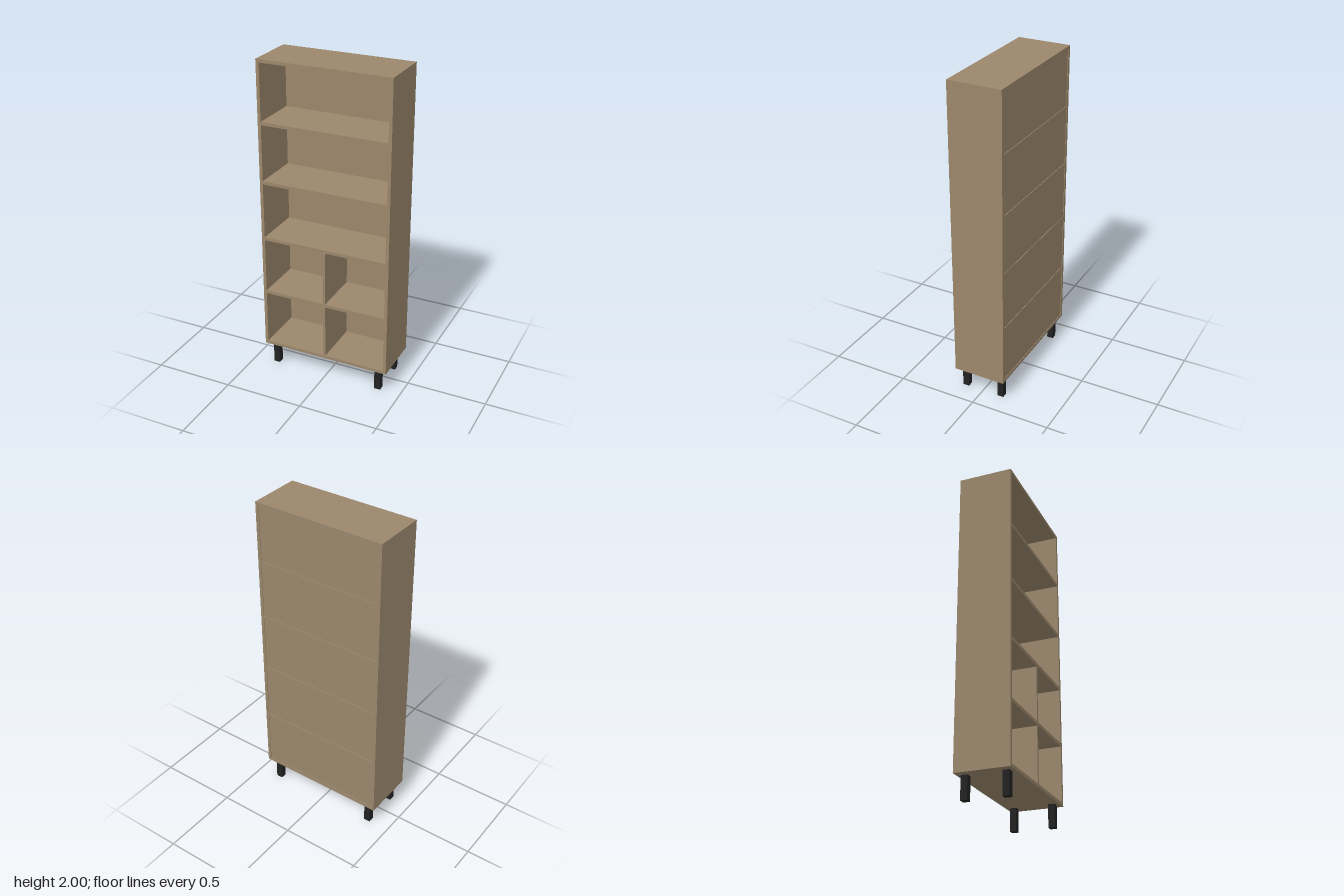
import * as THREE from 'three';

export function createModel() {
  const wood = new THREE.MeshStandardMaterial({ color: 0x9b876c });
  wood.name = 'wood';
  const black = new THREE.MeshStandardMaterial({ color: 0x222222 });
  black.name = 'blackLegs';

  const W = 0.83, D = 0.33, T = 0.02, LEG = 0.14, TOP = 2;
  const ROWS = 5, OPEN = (TOP - LEG - T * (ROWS + 1)) / ROWS, PITCH = OPEN + T;
  const inner = W - 2 * T;

  const model = new THREE.Group();
  model.name = 'bookcase';

  // box placed by its centre in x and z and by its underside in y
  function box(name, w, h, d, x, y, z, material = wood) {
    const mesh = new THREE.Mesh(new THREE.BoxGeometry(w, h, d), material);
    mesh.name = name;
    mesh.position.set(x, y + h / 2, z);
    model.add(mesh);
  }

  // side panels and legs
  for (const [side, s] of [['left', 1], ['right', -1]]) {
    box(side + 'SidePanel', T, TOP - LEG, D, s * (W - T) / 2, LEG, 0);
    for (const [end, e] of [['Front', 1], ['Back', -1]]) {
      box(side + end + 'Leg', 0.04, LEG, 0.04, s * 0.35, 0, e * 0.12, black);
    }
  }

  // bottom, shelves and top
  for (let i = 0; i <= ROWS; i++) {
    const name = i === 0 ? 'bottomPanel' : i === ROWS ? 'topPanel' : 'shelf' + i;
    box(name, inner, T, D, 0, LEG + i * PITCH, 0);
  }

  // back panels, set in slightly from the rear edges
  for (let i = 0; i < ROWS; i++) {
    box('backPanel' + (i + 1), inner, OPEN, 0.015, 0, LEG + T + i * PITCH, -0.1535);
  }

  // upright dividers in the two lowest rows
  for (let i = 0; i < 2; i++) {
    box('divider' + (i + 1), 0.016, OPEN - 0.005, 0.31, 0, LEG + T + i * PITCH, 0.008);
  }

  return model;
}
